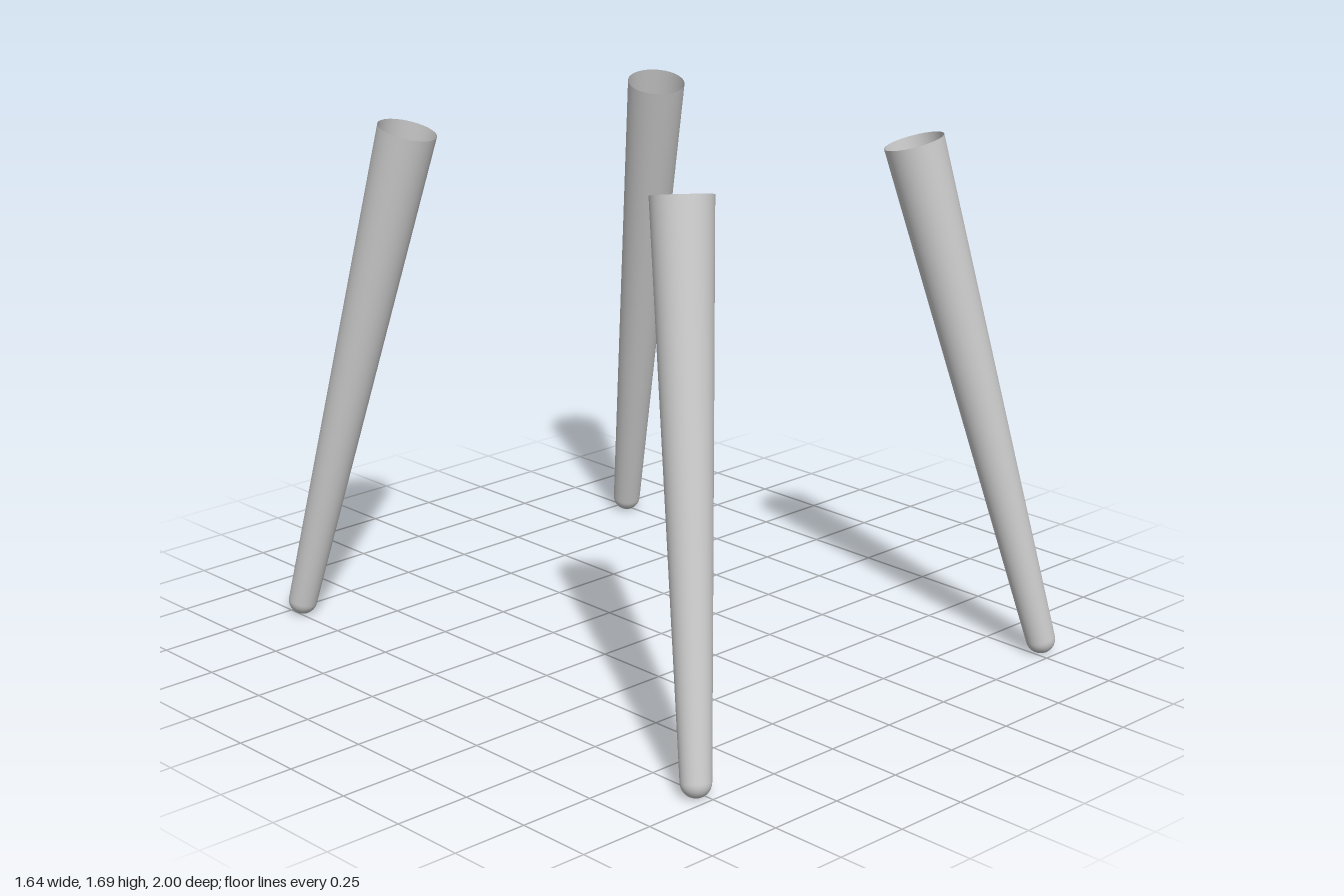
import * as THREE from 'three';

const FOOT_R = 0.047;
const TOP_R = 0.095;

// Tapered hollow leg with a rounded foot, open at the top, aligned from foot to top
function makeLeg(name, foot, top, material) {
  const axis = top.clone().sub(foot);
  const length = axis.length();
  const profile = [];
  for (let i = 0; i <= 10; i++) {
    const a = (i / 10) * Math.PI / 2;
    profile.push(new THREE.Vector2(FOOT_R * Math.sin(a), -FOOT_R * Math.cos(a)));
  }
  for (let i = 1; i <= 4; i++) {
    const t = i / 4;
    profile.push(new THREE.Vector2(THREE.MathUtils.lerp(FOOT_R, TOP_R, t), length * t));
  }
  const leg = new THREE.Mesh(new THREE.LatheGeometry(profile, 48), material);
  leg.name = name;
  leg.position.copy(foot);
  leg.quaternion.setFromUnitVectors(new THREE.Vector3(0, 1, 0), axis.normalize());
  return leg;
}

export function createModel() {
  const model = new THREE.Group();
  model.name = 'legSet';
  const material = new THREE.MeshStandardMaterial({ color: 0xcccccc, side: THREE.DoubleSide });

  // Splayed legs, mirrored left and right; the rear pair splays less sideways
  for (const side of [1, -1]) {
    const label = side > 0 ? 'Left' : 'Right';
    model.add(makeLeg('front' + label + 'Leg',
      new THREE.Vector3(side * 0.773, FOOT_R, 0.953),
      new THREE.Vector3(side * 0.495, 1.665, 0.603), material));
    model.add(makeLeg('back' + label + 'Leg',
      new THREE.Vector3(side * 0.735, FOOT_R, -0.953),
      new THREE.Vector3(side * 0.535, 1.667, -0.585), material));
  }
  return model;
}
